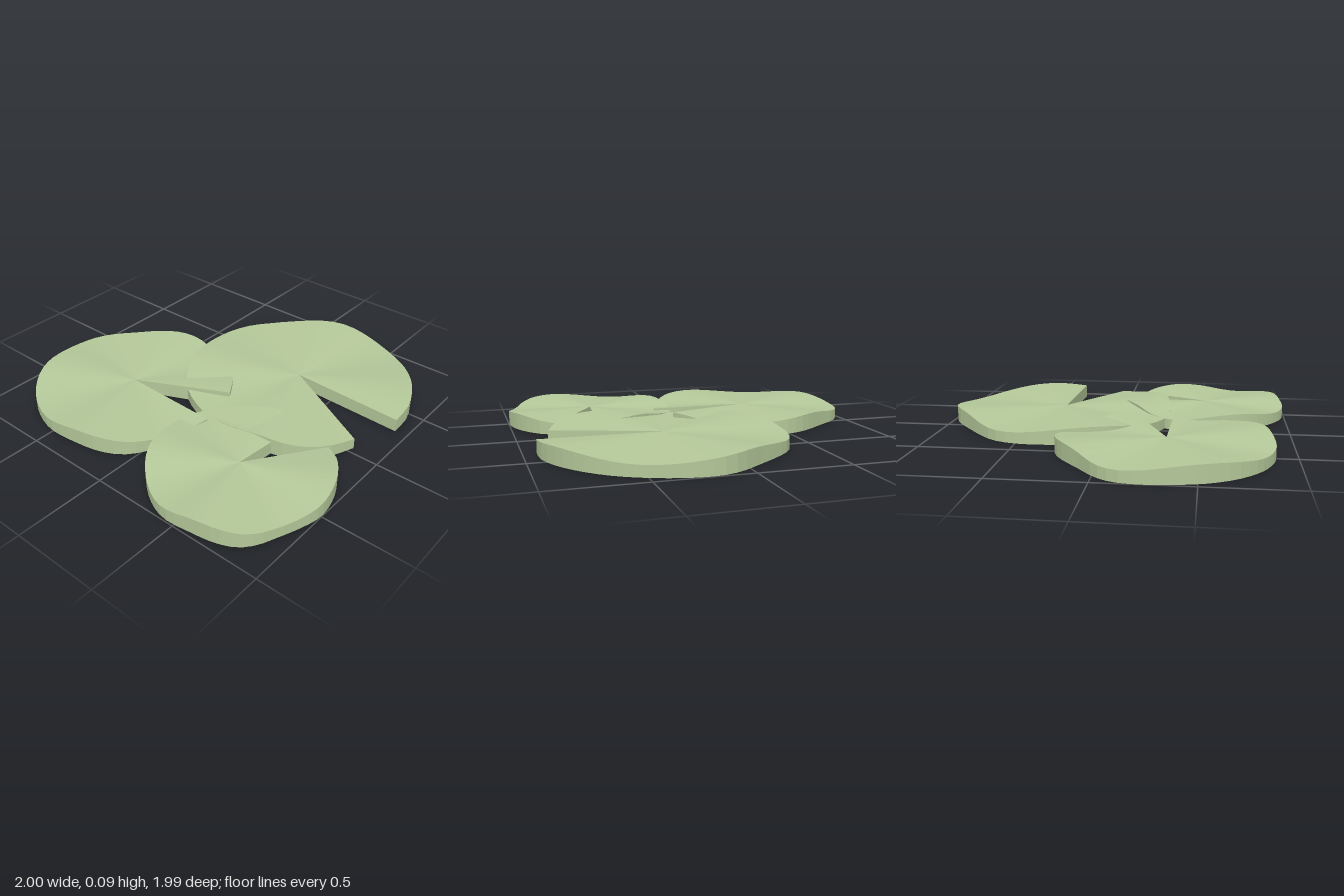
import * as THREE from 'three';

const SEGMENTS = 56;

// Notched leaf: a fan from the centre to a rim that ripples four times, with a flat base.
// The rim runs from one lip of the notch to the other, turning from +x towards +z.
function makePad(name, [cx, cz], rim, material) {
  const curve = new THREE.CatmullRomCurve3(rim.map(([x, z]) => new THREE.Vector3(x - cx, 0, z - cz)));
  const edge = curve.getSpacedPoints(SEGMENTS);
  edge.forEach((p) => { p.y = 0.077 - 0.017 * Math.sin(4 * Math.atan2(p.z, p.x)); });
  const centre = new THREE.Vector3(0, 0.078, 0);
  const floor = (p) => new THREE.Vector3(p.x, 0, p.z);
  const tris = [];

  // Top and underside
  for (let i = 0; i < SEGMENTS; i++) {
    const a = edge[i], b = edge[i + 1];
    tris.push(centre, b, a, floor(centre), floor(a), floor(b));
  }
  // Side wall, including both faces of the notch
  const loop = [centre, ...edge];
  loop.forEach((a, i) => {
    const b = loop[(i + 1) % loop.length];
    tris.push(floor(a), a, b, floor(a), b, floor(b));
  });

  const geometry = new THREE.BufferGeometry().setFromPoints(tris);
  geometry.computeVertexNormals();
  const mesh = new THREE.Mesh(geometry, material);
  mesh.name = name;
  mesh.position.set(cx, 0, cz);
  return mesh;
}

export function createModel() {
  const group = new THREE.Group();
  group.name = 'lilyPads';
  const green = new THREE.MeshStandardMaterial({ color: 0xb5c99a });
  green.name = 'leafGreen';

  group.add(
    makePad('largePad', [0.27, -0.33], [
      [0.835, -0.04], [0.77, 0.11], [0.7, 0.2], [0.6, 0.26], [0.44, 0.29], [0.25, 0.31],
      [0.08, 0.29], [-0.03, 0.25], [-0.14, 0.19], [-0.22, 0.11], [-0.3, -0.01], [-0.36, -0.18],
      [-0.385, -0.4], [-0.37, -0.53], [-0.32, -0.64], [-0.22, -0.74], [-0.08, -0.85], [0.05, -0.945],
      [0.14, -0.985], [0.23, -0.995], [0.35, -0.98], [0.5, -0.93], [0.65, -0.845], [0.77, -0.73],
      [0.86, -0.6], [0.92, -0.45], [0.928, -0.31],
    ], green),
    makePad('middlePad', [-0.43, 0.325], [
      [0.14, 0.34], [0.12, 0.42], [0.08, 0.53], [0.04, 0.63], [0.0, 0.71], [-0.07, 0.79],
      [-0.18, 0.845], [-0.34, 0.875], [-0.5, 0.885], [-0.6, 0.865], [-0.74, 0.8], [-0.87, 0.68],
      [-0.95, 0.54], [-0.99, 0.37], [-1.0, 0.22], [-0.98, 0.11], [-0.92, 0.02], [-0.78, -0.09],
      [-0.65, -0.19], [-0.56, -0.24], [-0.47, -0.26], [-0.36, -0.245], [-0.17, -0.18], [-0.02, -0.07],
      [0.04, 0.01], [0.09, 0.09],
    ], green),
    makePad('smallPad', [0.505, 0.51], [
      [0.77, 0.11], [0.86, 0.17], [0.94, 0.28], [0.98, 0.38], [0.998, 0.5], [0.97, 0.62],
      [0.92, 0.75], [0.88, 0.84], [0.82, 0.91], [0.72, 0.955], [0.58, 0.978], [0.45, 0.99],
      [0.36, 0.97], [0.25, 0.91], [0.13, 0.8], [0.06, 0.68], [0.03, 0.55], [0.02, 0.43],
      [0.045, 0.31], [0.13, 0.2], [0.24, 0.125], [0.37, 0.045], [0.46, 0.02], [0.55, 0.02],
    ], green),
  );
  return group;
}
